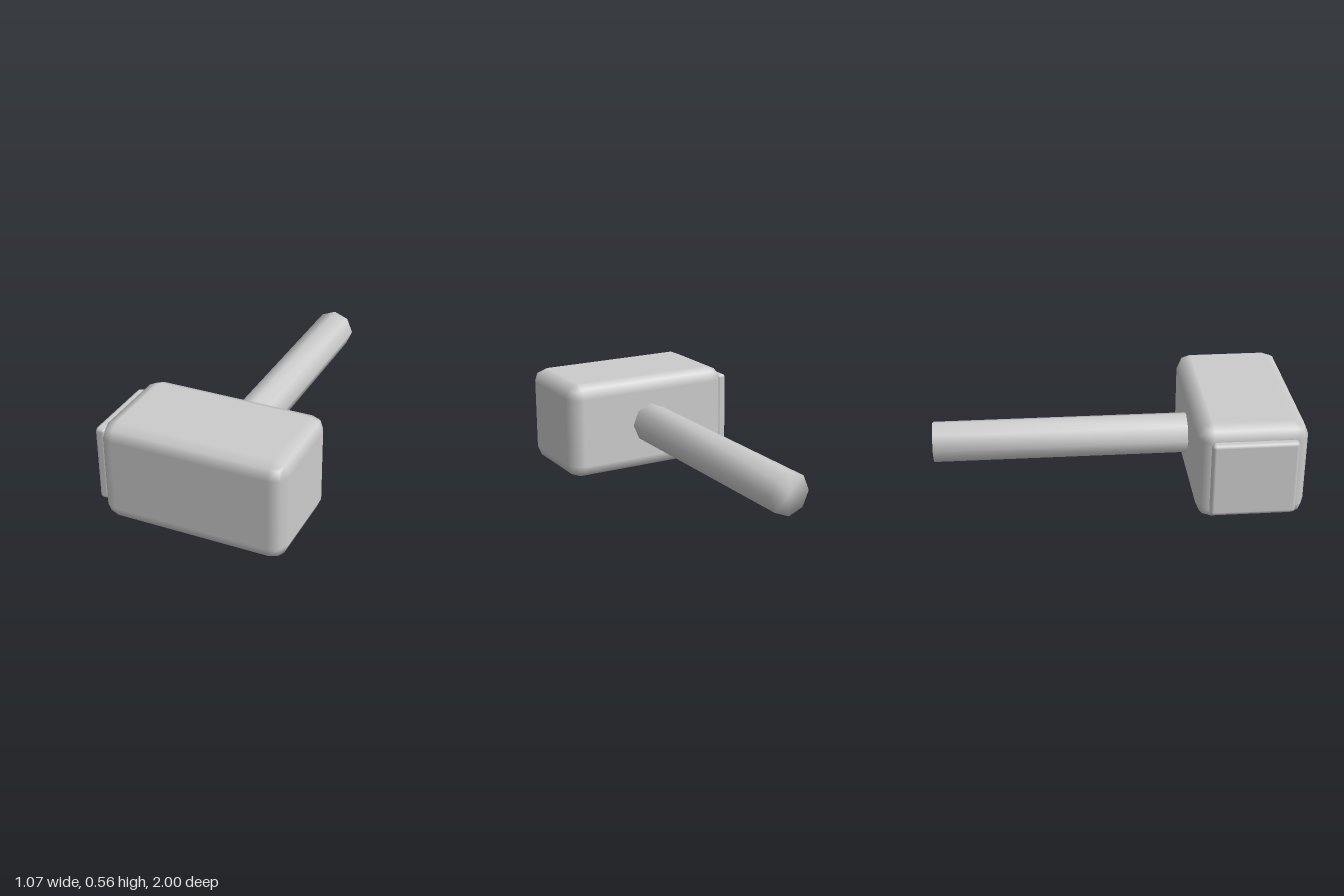
import * as THREE from 'three';
import { mergeVertices } from 'three/addons/utils/BufferGeometryUtils.js';
import { RoundedBoxGeometry } from 'three/addons/geometries/RoundedBoxGeometry.js';

// Box with a two-step rounded bevel, given by its min and max corners
function roundedBlock(name, min, max, radius, material) {
  const [w, h, d] = max.map((v, i) => v - min[i]);
  const mesh = new THREE.Mesh(new RoundedBoxGeometry(w, h, d, 1, radius), material);
  mesh.position.set(...max.map((v, i) => (v + min[i]) / 2));
  mesh.name = name;
  return mesh;
}

export function createModel() {
  const group = new THREE.Group();
  group.name = 'hammer';
  const grey = new THREE.MeshStandardMaterial({ color: 0xcccccc });
  grey.name = 'grey metal';

  // Heavy block head and the thin plate on its right end
  group.add(roundedBlock('head', [-0.48, 0, 0.41], [0.532, 0.557, 1], 0.08, grey));
  group.add(roundedBlock('strikingPlate', [-0.534, 0.066, 0.473], [-0.476, 0.491, 0.932], 0.02, grey));

  // Eight-sided handle, smooth-shaded over the end cap as well
  const back = -1, front = 0.45;
  let shaft = new THREE.CylinderGeometry(0.117, 0.117, front - back, 8);
  shaft.deleteAttribute('normal');
  shaft.deleteAttribute('uv');
  shaft = mergeVertices(shaft);
  shaft.computeVertexNormals();
  shaft.rotateX(Math.PI / 2);
  const handle = new THREE.Mesh(shaft, grey);
  handle.position.set(0.022, 0.282, (back + front) / 2);
  handle.name = 'handle';
  group.add(handle);

  return group;
}
